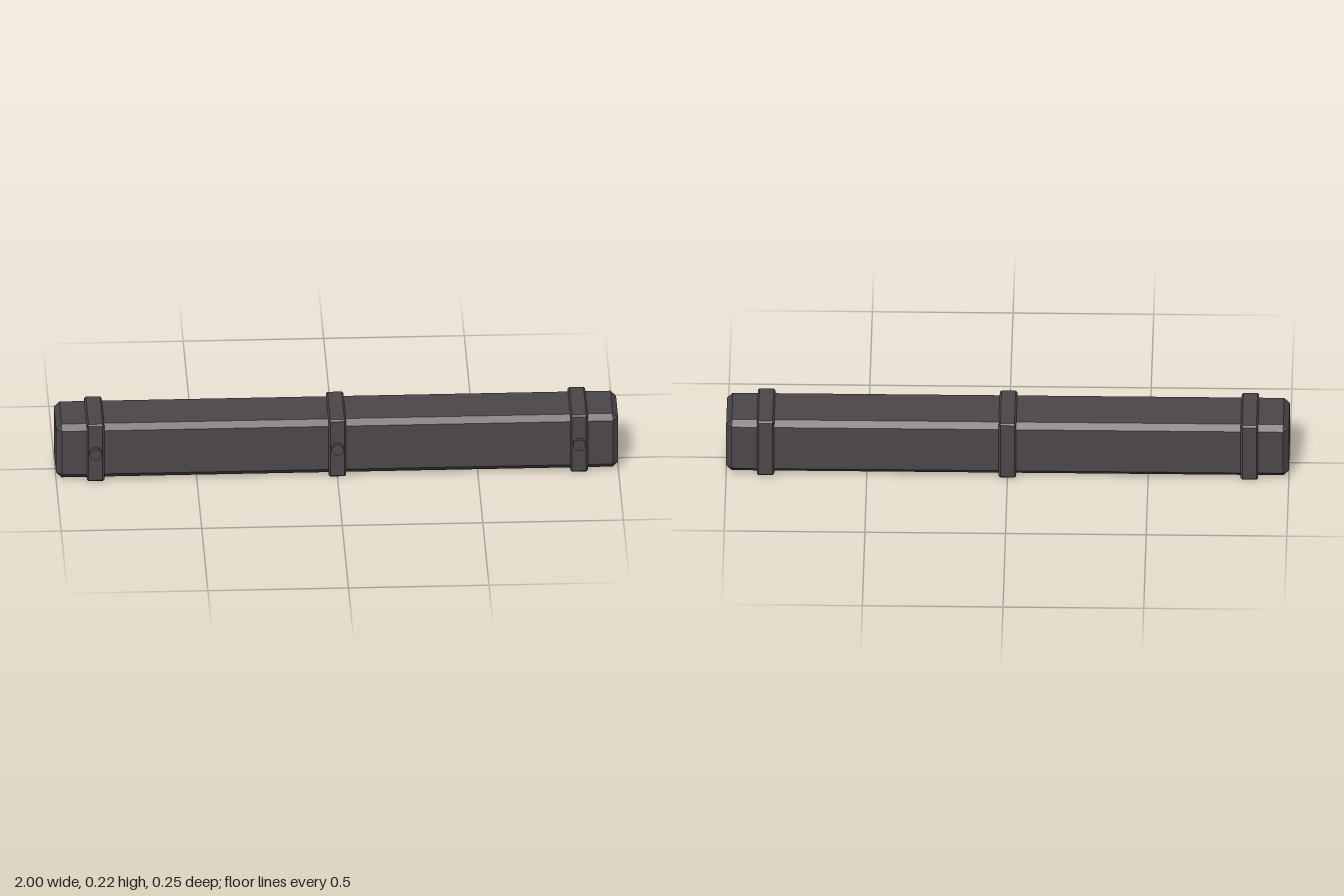
import * as THREE from 'three';
import { ConvexGeometry } from 'three/addons/geometries/ConvexGeometry.js';

// Box with every edge cut by a flat chamfer c
function chamferBox(w, h, d, c) {
  const half = [w / 2, h / 2, d / 2];
  const points = [];
  for (const sx of [-1, 1]) for (const sy of [-1, 1]) for (const sz of [-1, 1]) {
    const s = [sx, sy, sz];
    // one corner point on each of the three faces that meet here
    for (let face = 0; face < 3; face++) {
      points.push(new THREE.Vector3(...s.map((k, i) => k * (half[i] - (i === face ? 0 : c)))));
    }
  }
  return new ConvexGeometry(points);
}

export function createModel() {
  const model = new THREE.Group();
  model.name = 'strappedBeam';
  const darkGrey = new THREE.MeshStandardMaterial({ color: 0x4b464a });
  darkGrey.name = 'darkGrey';

  const add = (name, geometry, x, y, z) => {
    const mesh = new THREE.Mesh(geometry, darkGrey);
    mesh.name = name;
    mesh.position.set(x, y, z);
    model.add(mesh);
  };

  const midY = 0.1125, midZ = -0.0065;

  // Long beam
  add('beam', chamferBox(2, 0.211, 0.221, 0.02), 0, midY, midZ);

  // Bands around the beam, each with a stud on the front
  const bandGeometry = chamferBox(0.062, 0.225, 0.235, 0.006);
  const studGeometry = new THREE.CylinderGeometry(0.0225, 0.0225, 0.016, 12).rotateX(Math.PI / 2).toNonIndexed();
  studGeometry.computeVertexNormals();
  [['right', -0.86], ['middle', 0], ['left', 0.86]].forEach(([side, x]) => {
    add(side + 'Band', bandGeometry, x, midY, midZ);
    add(side + 'Stud', studGeometry, x, midY + 0.001, 0.117);
  });

  return model;
}
